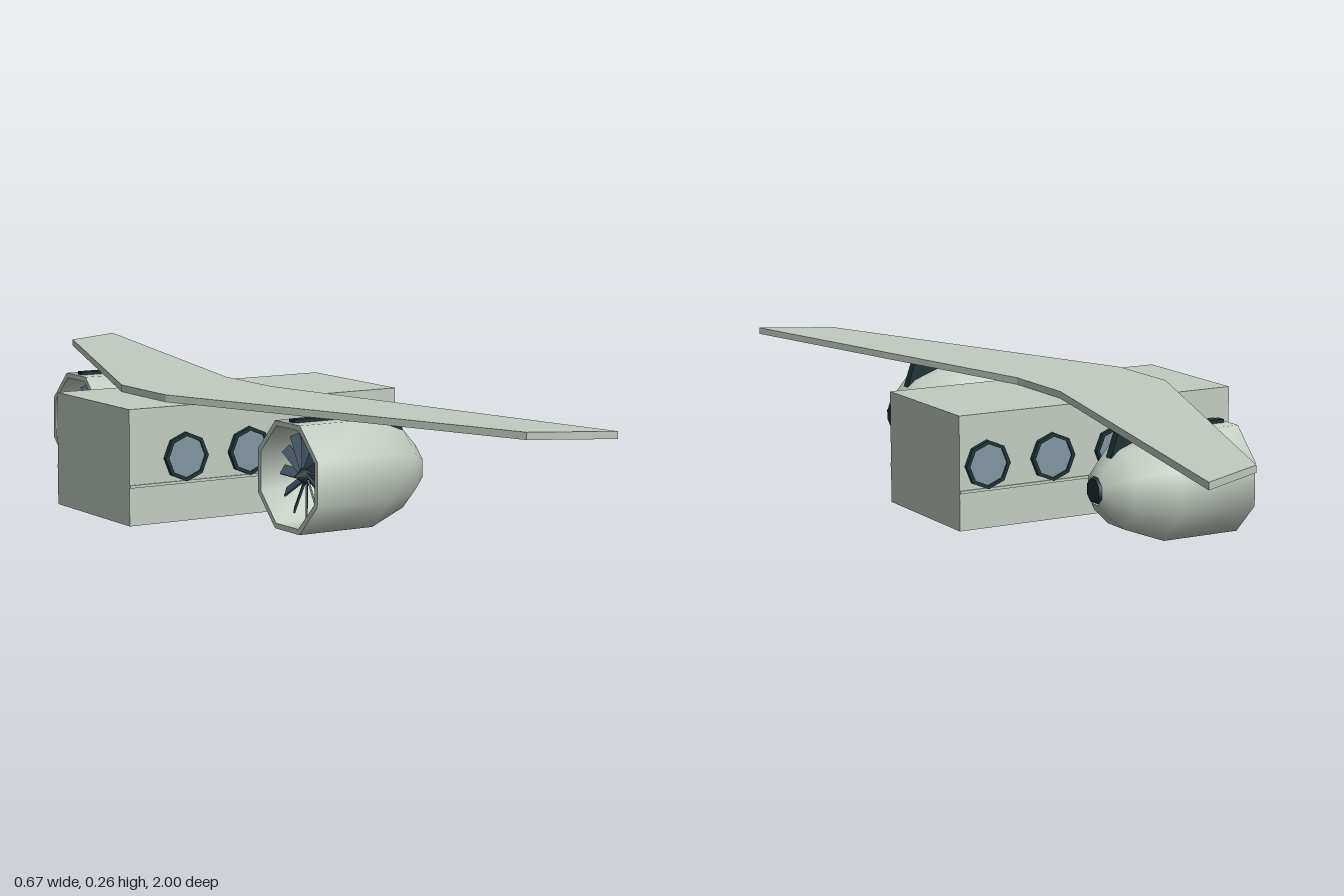
import * as THREE from 'three';
import { toCreasedNormals } from 'three/addons/utils/BufferGeometryUtils.js';

export function createModel() {
  const mat = (name, color) => {
    const m = new THREE.MeshStandardMaterial({ color });
    m.name = name;
    return m;
  };
  const hull = mat('pale grey green', 0xc2ccc1);
  const dark = mat('dark teal', 0x1f3234);
  const glass = mat('blue grey glass', 0x7f95a1);
  const steel = mat('slate steel', 0x4a5f6b);

  const model = new THREE.Group();
  model.name = 'aircraft';
  const add = (parent, name, geometry, material, x = 0, y = 0, z = 0) => {
    const mesh = new THREE.Mesh(geometry, material);
    mesh.name = name;
    mesh.position.set(x, y, z);
    parent.add(mesh);
    return mesh;
  };
  const outline = (points) => new THREE.Shape(points.map(([x, y]) => new THREE.Vector2(x, y)));

  // Box fuselage with a thin seam strip along each side
  add(model, 'fuselage', new THREE.BoxGeometry(0.667, 0.245, 0.318), hull, 0, 0.1225, 0);
  add(model, 'seamStrip', new THREE.BoxGeometry(0.667, 0.006, 0.324), hull, 0, 0.083, 0);

  // Swept one-piece wing
  const half = [[-0.21, 0.095], [0.11, 0.92], [0.268, 1], [0.055, 0.095]];
  const mirrored = half.map(([x, z]) => [x, -z]).reverse();
  const wing = new THREE.ExtrudeGeometry(outline([...half, ...mirrored]), { depth: 0.015, bevelEnabled: false });
  wing.rotateX(-Math.PI / 2);
  add(model, 'wing', wing, hull, 0, 0.245, 0);

  // Octagonal portholes, four on each side
  const rimShape = new THREE.Shape();
  const holePath = new THREE.Path();
  for (let i = 0; i < 8; i++) {
    const a = (i * Math.PI) / 4;
    const c = Math.cos(a), s = Math.sin(a);
    rimShape[i ? 'lineTo' : 'moveTo'](0.052 * c, 0.052 * s);
    holePath[i ? 'lineTo' : 'moveTo'](0.044 * c, 0.044 * s);
  }
  rimShape.holes.push(holePath);
  const rim = new THREE.ExtrudeGeometry(rimShape, { depth: 0.012, bevelEnabled: false });
  const pane = new THREE.CylinderGeometry(0.045, 0.045, 0.007, 8).rotateX(Math.PI / 2);
  for (const side of [1, -1]) {
    for (let i = 0; i < 4; i++) {
      const port = new THREE.Group();
      port.name = 'porthole';
      port.position.set(-0.2 + i * 0.1565, 0.137, side * 0.157);
      if (side < 0) port.rotation.y = Math.PI;
      add(port, 'portholeRim', rim, dark);
      add(port, 'portholeGlass', pane, glass, 0, 0, 0.005);
      model.add(port);
    }
  }

  // Engine shell: inner wall to the intake lip, then the outer skin to the tail
  const flat = 1 / Math.cos(Math.PI / 8);
  const profile = [
    [0, 0.165], [0.035, 0.16], [0.07, 0.125], [0.1, 0.04], [0.1, -0.132],
    [0.111, -0.132], [0.111, 0.045], [0.08, 0.13], [0.045, 0.17], [0.028, 0.18],
  ].map(([r, x]) => new THREE.Vector2(r * flat, x));
  const shell = toCreasedNormals(
    new THREE.LatheGeometry(profile, 8, Math.PI / 8).rotateZ(-Math.PI / 2), 0.85);

  const cap = new THREE.CylinderGeometry(0.026, 0.03, 0.01, 8, 1, false, Math.PI / 8).rotateZ(-Math.PI / 2);
  const hub = new THREE.ConeGeometry(0.022, 0.03, 8).rotateZ(Math.PI / 2);
  const shaft = new THREE.CylinderGeometry(0.014, 0.014, 0.25, 8).rotateZ(Math.PI / 2);
  const blade = new THREE.BoxGeometry(0.004, 0.08, 0.022).rotateY(0.6).translate(0, 0.05, 0);

  const pylon = new THREE.ExtrudeGeometry(
    outline([[-0.122, 0.1], [0.045, 0.1], [0.13, 0.065], [0.152, 0.055], [0.13, 0.118], [-0.122, 0.118]]),
    { depth: 0.02, bevelEnabled: false });

  for (const side of [1, -1]) {
    const engine = new THREE.Group();
    engine.name = side > 0 ? 'frontEngine' : 'backEngine';
    engine.position.set(0, 0.127, side * 0.45);
    add(engine, 'engineShell', shell, hull);
    add(engine, 'tailCap', cap, dark, 0.18, 0, 0);
    add(engine, 'pylon', pylon, dark, 0, 0, -0.01);
    add(engine, 'fanHub', hub, dark, -0.1, 0, 0);
    add(engine, 'fanShaft', shaft, dark, 0.035, 0, 0);
    for (let i = 0; i < 12; i++) {
      add(engine, 'fanBlade', blade, steel, -0.085, 0, 0).rotation.x = (i * Math.PI) / 6;
    }
    model.add(engine);
  }

  return model;
}
